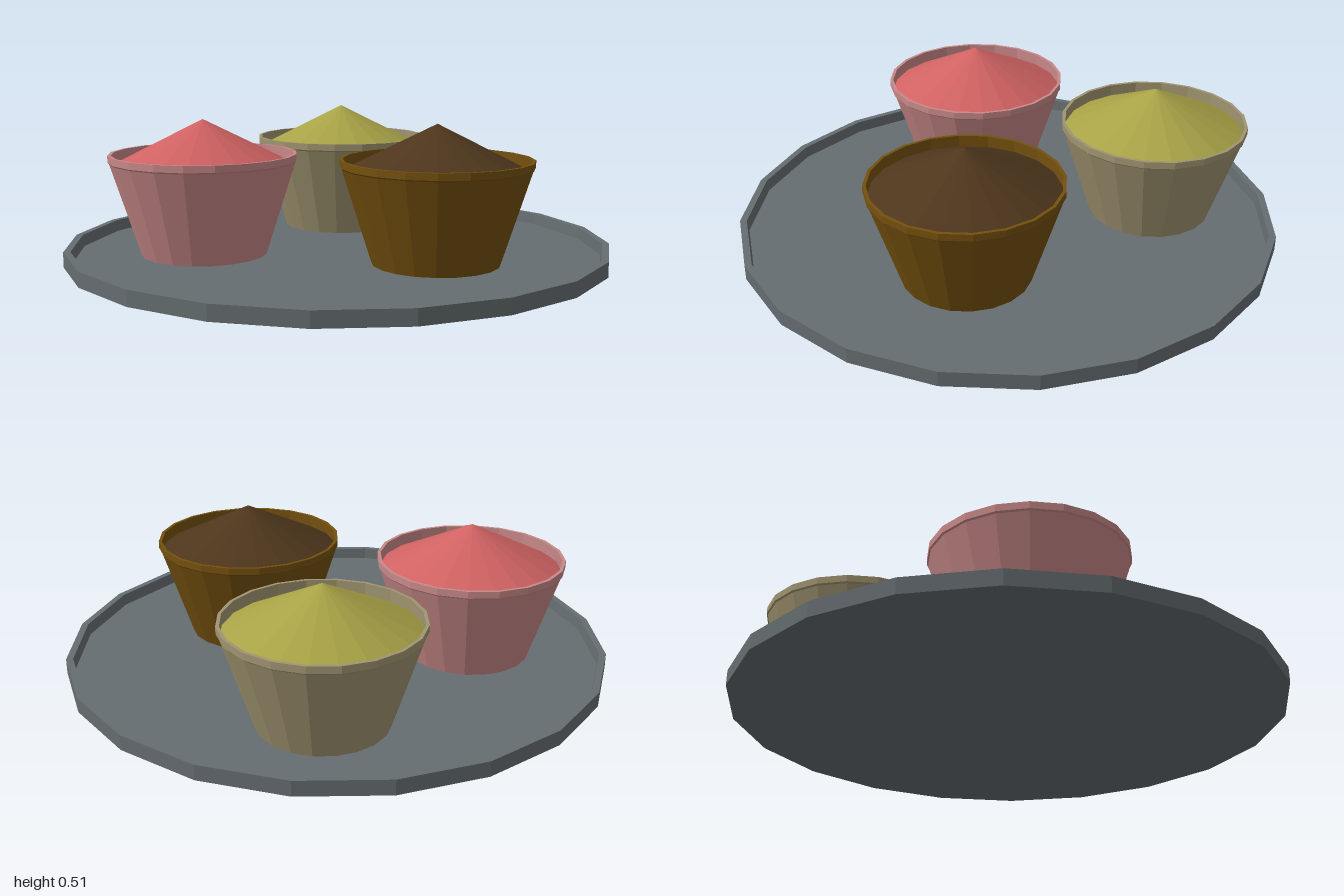
import * as THREE from 'three';

const SIDES = 20;

// Faceted solid of revolution; the profile runs from the bottom, outwards and up
function turned(name, profile, color) {
  const points = profile.map(([r, y]) => new THREE.Vector2(r, y));
  const mesh = new THREE.Mesh(
    new THREE.LatheGeometry(points, SIDES),
    new THREE.MeshStandardMaterial({ color, flatShading: true })
  );
  mesh.name = name;
  return mesh;
}

// Tapered cup with an upright lip and a cone-shaped filling
function createCup(name, x, z, cupColor, fillingColor) {
  const cup = new THREE.Group();
  cup.name = name;
  cup.add(
    turned('cupShell', [
      [0, 0.01], [0.23, 0.01], [0.34, 0.355], [0.345, 0.36],
      [0.345, 0.385], [0.333, 0.385], [0.333, 0.33]
    ], cupColor),
    turned('filling', [[0.333, 0.342], [0, 0.51]], fillingColor)
  );
  cup.position.set(x, 0, z);
  return cup;
}

export function createModel() {
  const model = new THREE.Group();
  model.name = 'trayOfCups';

  // Shallow round tray with a thin raised rim
  model.add(turned('tray', [
    [0, 0], [1, 0], [1, 0.055], [0.975, 0.055], [0.97, 0.012], [0, 0.012]
  ], 0x656d70));

  // Three filled cups
  model.add(
    createCup('pinkCup', -0.35, -0.35, 0xc88888, 0xd06262),
    createCup('yellowCup', 0.43, -0.35, 0xa09470, 0xa8a246),
    createCup('brownCup', 0.07, 0.4, 0x74500e, 0x4e361c)
  );
  return model;
}
